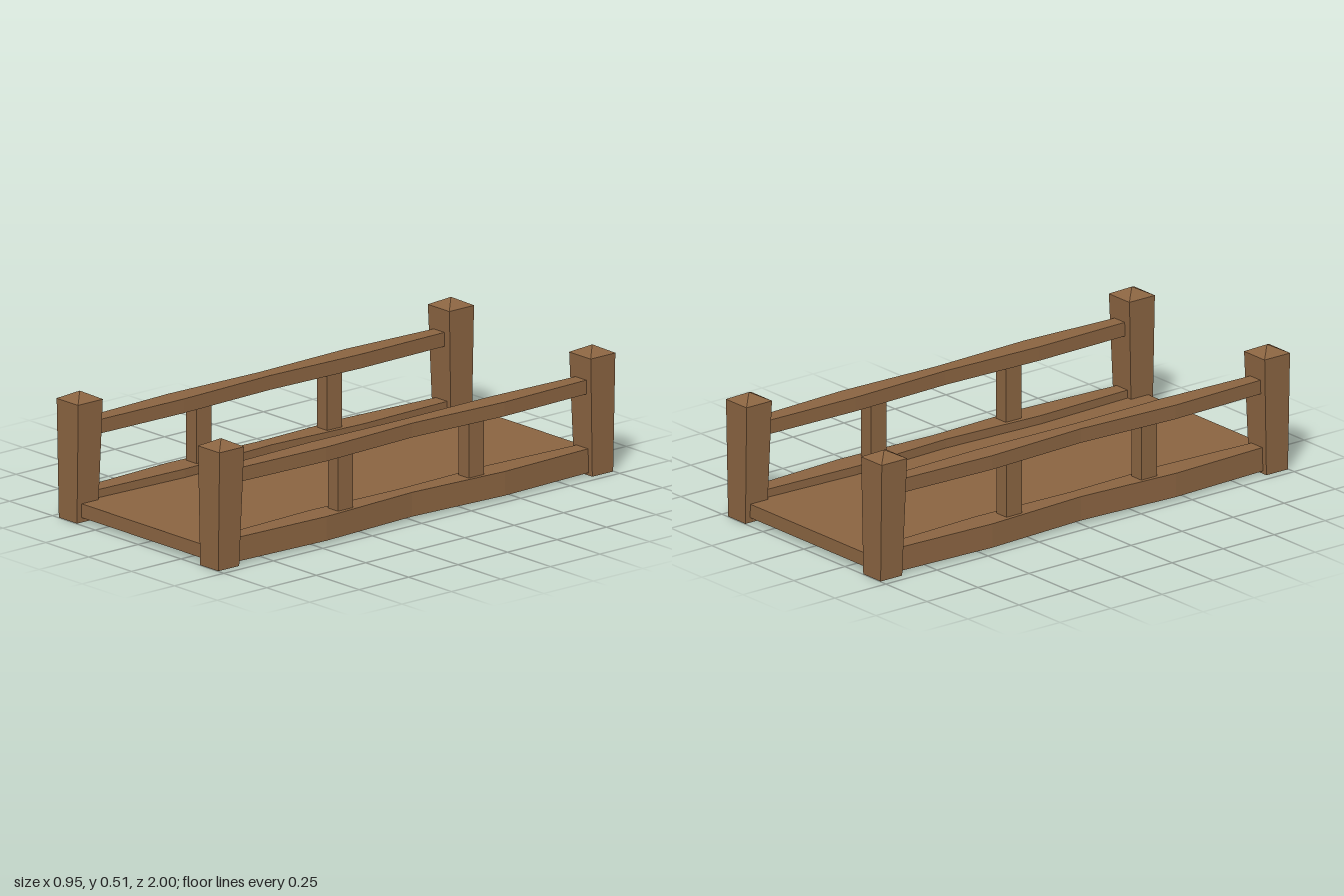
import * as THREE from 'three';

export function createModel() {
  const group = new THREE.Group();
  group.name = 'footbridge';
  const wood = new THREE.MeshStandardMaterial({ color: 0x8a6441, flatShading: true });
  wood.name = 'brown wood';

  const add = (geometry, name, x = 0, y = 0, z = 0) => {
    const mesh = new THREE.Mesh(geometry, wood);
    mesh.name = name;
    mesh.position.set(x, y, z);
    group.add(mesh);
  };

  // Moves every vertex of a geometry by a rule
  const reshape = (geometry, rule) => {
    const p = geometry.attributes.position;
    const v = new THREE.Vector3();
    for (let i = 0; i < p.count; i++) {
      v.fromBufferAttribute(p, i);
      rule(v);
      p.setXYZ(i, v.x, v.y, v.z);
    }
    geometry.computeVertexNormals();
    return geometry;
  };

  // Hand-hewn beam along z that swells halfway along each half
  const hewnBeam = (side, inner, outer, innerSwell, outerSwell, bottom, top) =>
    reshape(new THREE.BoxGeometry(2, 1, 1.8, 1, 1, 8), (v) => {
      const swell = Math.max(0, 1 - Math.abs(Math.abs(v.z) - 0.45) / 0.45);
      const isOuter = v.x * side > 0;
      v.x = side * (isOuter ? outer + outerSwell * swell : inner - innerSwell * swell);
      v.y = v.y > 0 ? top - 0.004 * Math.abs(v.z) : bottom - 0.003 * Math.abs(v.z);
    });

  // Deck with a slightly sagging underside
  add(reshape(new THREE.BoxGeometry(0.77, 0.055, 1.95, 1, 1, 4), (v) => {
    v.y = v.y > 0 ? 0.075 : 0.012 + 0.008 * Math.abs(v.z) / 0.975;
  }), 'deck');

  for (const side of [-1, 1]) {
    add(hewnBeam(side, 0.378, 0.444, 0.018, 0.021, 0.014, 0.111), 'sideBeam');
    add(hewnBeam(side, 0.383, 0.444, 0.012, 0.018, 0.33, 0.387), 'handrail');

    // Balusters between beam and handrail
    for (const z of [0.335, -0.325]) {
      add(new THREE.BoxGeometry(0.06, 0.26, 0.076), 'baluster', side * 0.413, 0.22, z);
    }

    // Tapered corner posts with pyramid caps
    for (const end of [-1, 1]) {
      const post = reshape(new THREE.BoxGeometry(0.126, 0.475, 0.124), (v) => {
        if (v.y < 0) {
          v.x *= 0.84;
          v.z = v.z * 0.85 + end * 0.007;
        }
      });
      add(post, 'cornerPost', side * 0.412, 0.2375, end * 0.938);
      const cap = new THREE.ConeGeometry(0.063 * Math.SQRT2, 0.032, 4, 1, true);
      cap.rotateY(Math.PI / 4);
      add(cap, 'postCap', side * 0.412, 0.491, end * 0.938);
    }
  }
  return group;
}
